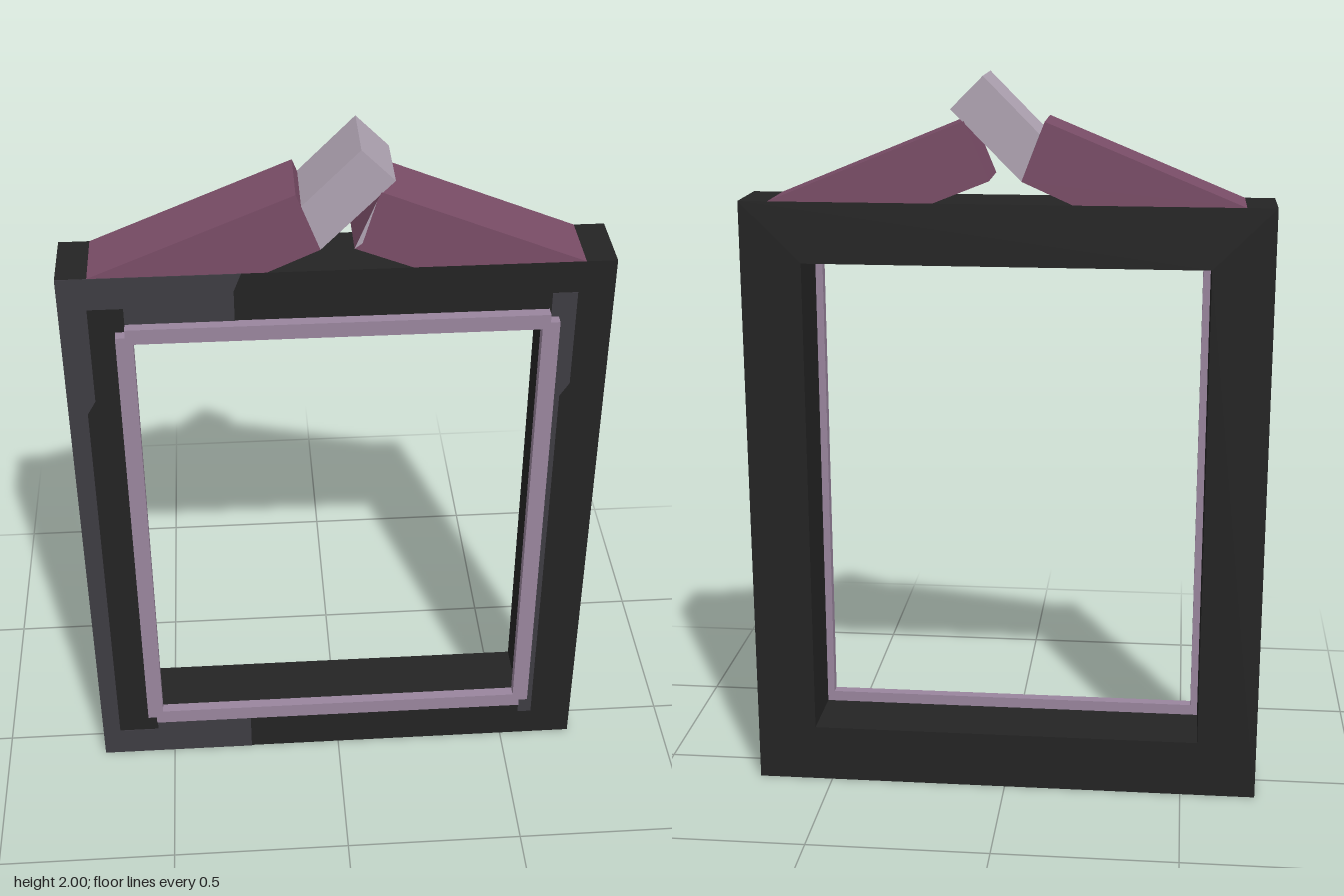
import * as THREE from 'three';

const mat = (name, color) => {
  const m = new THREE.MeshStandardMaterial({ color });
  m.name = name;
  return m;
};

export function createModel() {
  const charcoal = mat('charcoal', 0x242424);
  const slate = mat('slate', 0x3e3c43);
  const plum = mat('plum', 0x7a4d67);
  const mauve = mat('mauve', 0x9a869e);
  const lilac = mat('lilac', 0xb0a4b3);

  const group = new THREE.Group();
  const BACK = -0.11, FRONT = 0.08;

  const toShape = (pts) => new THREE.Shape(pts.map(([x, y]) => new THREE.Vector2(x, y)));

  // Extrudes an outline in the xy plane between two depths
  function slab(name, shape, z0, z1, material) {
    const geo = new THREE.ExtrudeGeometry(shape, { depth: z1 - z0, bevelEnabled: false });
    const mesh = new THREE.Mesh(geo.translate(0, 0, z0), material);
    mesh.name = name;
    group.add(mesh);
  }

  // Main frame with its rectangular opening
  const frame = toShape([[-0.71, 0], [0.71, 0], [0.71, 1.67], [-0.71, 1.67]]);
  frame.holes.push(toShape([[-0.545, 0.16], [-0.545, 1.505], [0.545, 1.505], [0.545, 0.16]]));
  slab('frame', frame, BACK, FRONT, charcoal);

  // Lighter inlays on the frame's front face
  slab('wideInlay', toShape([
    [-0.71, 0], [-0.265, 0], [-0.265, 0.16], [-0.545, 0.16], [-0.545, 0.09],
    [-0.66, 0.09], [-0.66, 1.26], [-0.637, 1.3], [-0.637, 1.58], [-0.545, 1.58],
    [-0.545, 1.505], [-0.265, 1.505], [-0.265, 1.62], [-0.245, 1.67], [-0.71, 1.67],
  ]), FRONT, FRONT + 0.002, slate);
  slab('narrowInlay', toShape([
    [0.55, 0.09], [0.59, 0.09], [0.59, 1.26], [0.615, 1.3], [0.615, 1.58], [0.55, 1.58],
  ]), FRONT, FRONT + 0.002, slate);

  // Raised trim around the opening, notched at the corners
  const trim = toShape([
    [-0.545, 0.145], [0.545, 0.145], [0.545, 0.167], [0.57, 0.167], [0.57, 1.51], [0.545, 1.51],
    [0.545, 1.533], [-0.545, 1.533], [-0.545, 1.51], [-0.57, 1.51], [-0.57, 0.167], [-0.545, 0.167],
  ]);
  trim.holes.push(toShape([[-0.525, 0.19], [-0.525, 1.49], [0.525, 1.49], [0.525, 0.19]]));
  slab('trim', trim, FRONT, 0.11, mauve);

  // Two sloping beams of the broken gable
  slab('rightBeam', toShape([[-0.63, 1.67], [-0.18, 1.67], [-0.045, 1.73], [-0.105, 1.885]]), BACK, FRONT, plum);
  slab('leftBeam', toShape([[0.19, 1.67], [0.63, 1.67], [0.105, 1.885], [0.04, 1.73]]), BACK, FRONT, plum);
  // Pale chip at the end of the left beam
  slab('beamChip', toShape([[0.04, 1.73], [0.06, 1.745], [0.095, 1.862]]), FRONT, FRONT + 0.001, lilac);

  // Tilted keystone block at the peak
  slab('keystone', toShape([[-0.045, 1.73], [0.14, 1.915], [0.055, 2], [-0.092, 1.853]]), BACK, FRONT, lilac);

  return group;
}
